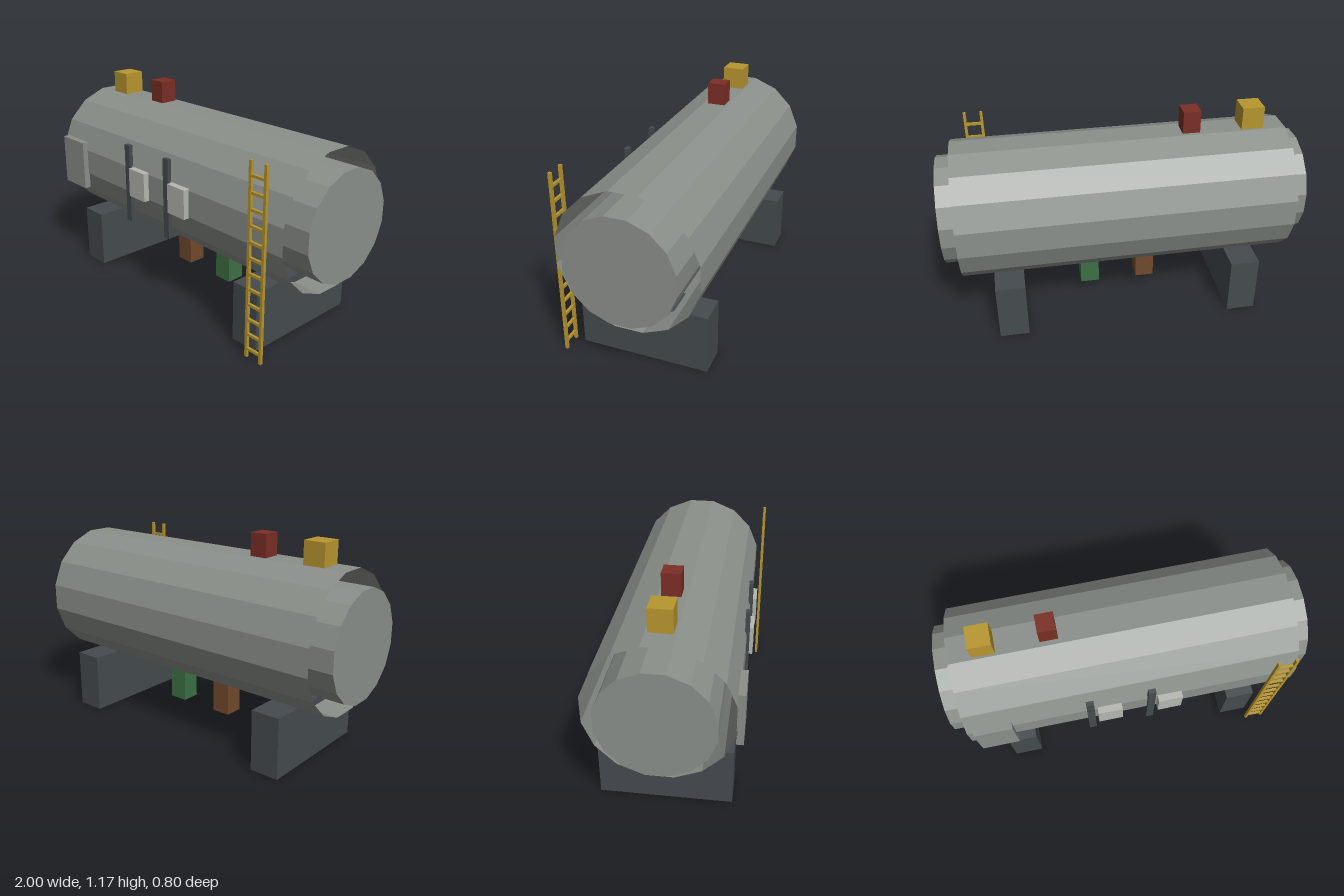
import * as THREE from 'three';

const mat = (name, color, extra = {}) => {
  const m = new THREE.MeshStandardMaterial({ color, flatShading: true, ...extra });
  m.name = name;
  return m;
};

export function createModel() {
  const tankGrey = mat('tankGrey', 0x8b908b);
  tankGrey.side = THREE.DoubleSide; // the shell is an open tube
  const paleGrey = mat('paleGrey', 0xb5b7b0);
  const darkSteel = mat('darkSteel', 0x454b4f);
  const yellow = mat('yellow', 0xb8962e);
  const red = mat('red', 0x7a2e25);
  const brown = mat('brown', 0x724a2d);
  const green = mat('green', 0x3d7044);

  const model = new THREE.Group();
  model.name = 'storageTank';

  // Box given by its limits on each axis
  const box = (name, material, [x0, x1], [y0, y1], [z0, z1], parent = model) => {
    const mesh = new THREE.Mesh(new THREE.BoxGeometry(x1 - x0, y1 - y0, z1 - z0), material);
    mesh.position.set((x0 + x1) / 2, (y0 + y1) / 2, (z0 + z1) / 2);
    mesh.name = name;
    parent.add(mesh);
  };

  // Sixteen-sided drum lying along x, with a flat side on top
  const drum = (name, radius, length, open) => {
    const geo = new THREE.CylinderGeometry(radius, radius, length, 16, 1, open, Math.PI / 16);
    const mesh = new THREE.Mesh(geo.rotateZ(Math.PI / 2), tankGrey);
    mesh.position.set(0, 0.668, -0.023);
    mesh.name = name;
    model.add(mesh);
  };
  drum('shell', 0.381, 1.832, true);
  drum('innerDrum', 0.298, 2, false);

  // Saddle legs
  for (const [name, x] of [['leftLeg', 0.667], ['rightLeg', -0.667]]) {
    box(name, darkSteel, [x - 0.082, x + 0.082], [0, 0.335], [-0.375, 0.333]);
  }

  // Fittings on top and underneath
  box('topVent', yellow, [-0.79, -0.668], [1.041, 1.167], [-0.084, 0.039]);
  box('topValve', red, [-0.435, -0.338], [1.041, 1.167], [-0.077, 0.025]);
  box('brownOutlet', brown, [-0.195, -0.087], [0.087, 0.296], [-0.077, 0.03]);
  box('greenOutlet', green, [0.139, 0.247], [0.087, 0.296], [-0.077, 0.03]);

  // Front hatch, posts and control boxes
  box('hatch', tankGrey, [-0.877, -0.668], [0.503, 0.793], [0.345, 0.382]);
  for (const x of [0, 0.335]) {
    box('post', darkSteel, [x - 0.262, x - 0.221], [0.42, 0.877], [0.341, 0.365]);
    box('controlBox', paleGrey, [x - 0.205, x - 0.071], [0.588, 0.752], [0.334, 0.384]);
  }

  // Ladder
  const ladder = new THREE.Group();
  ladder.name = 'ladder';
  model.add(ladder);
  for (const x of [0.744, 0.839]) {
    box('rail', yellow, [x - 0.008, x + 0.008], [0, 1.042], [0.384, 0.4], ladder);
  }
  for (let i = 0; i < 12; i++) {
    const y = 0.048 + i * 0.0836;
    box('rung', yellow, [0.752, 0.831], [y - 0.007, y + 0.007], [0.385, 0.399], ladder);
  }
  return model;
}
